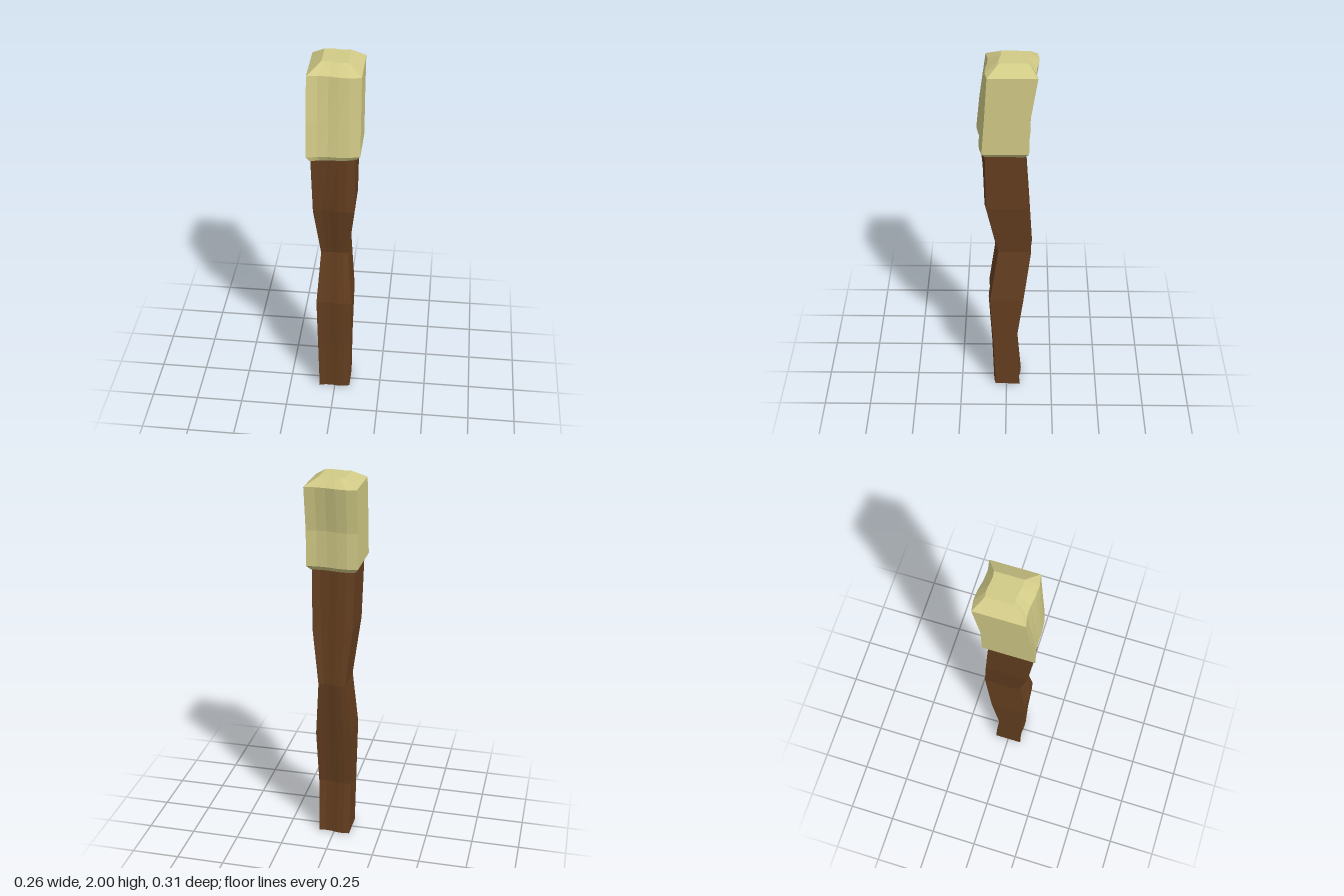
import * as THREE from 'three';

const COLS = 5; // columns across the wavy front and back

// One cross-section: straight sides, S-waved front and back edges
// zFL / zFR: front z at left (-x) and right (+x); zB: back z
function section([y, x0, x1, zFL, zFR, zB, wave]) {
  const front = [], back = [];
  for (let i = 0; i <= COLS; i++) {
    const t = i / COLS;
    const x = x0 + (x1 - x0) * t;
    const s = wave * Math.sin(2 * Math.PI * t);
    front.push([x, y, zFL + (zFR - zFL) * t - s]);
    back.push([x, y, zB - s]);
  }
  return { front, back, loop: [...front, ...back.slice().reverse()] };
}

// Flat-faceted loft through the sections, closed at both ends
function loft(rows) {
  const rings = rows.map(section);
  const pos = [];
  const quad = (a, b, c, d) => pos.push(...a, ...b, ...c, ...a, ...c, ...d);
  for (let r = 0; r < rings.length - 1; r++) {
    const lo = rings[r].loop, hi = rings[r + 1].loop, n = lo.length;
    for (let i = 0; i < n; i++) {
      const j = (i + 1) % n;
      quad(lo[i], lo[j], hi[j], hi[i]);
    }
  }
  const bottom = rings[0], top = rings[rings.length - 1];
  for (let i = 0; i < COLS; i++) {
    quad(top.front[i], top.front[i + 1], top.back[i + 1], top.back[i]);
    quad(bottom.back[i], bottom.back[i + 1], bottom.front[i + 1], bottom.front[i]);
  }
  const g = new THREE.BufferGeometry();
  g.setAttribute('position', new THREE.Float32BufferAttribute(pos, 3));
  g.computeVertexNormals();
  return g;
}

export function createModel() {
  const wood = new THREE.MeshStandardMaterial({ color: 0x653f20, flatShading: true });
  wood.name = 'brown wood';
  const pale = new THREE.MeshStandardMaterial({ color: 0xd2cb87, flatShading: true });
  pale.name = 'pale yellow';

  // Crooked wooden shaft
  const shaft = new THREE.Mesh(loft([
    [0.0, -0.085, 0.082, 0.075, 0.06, -0.075, 0.006],
    [0.3, -0.09, 0.087, 0.083, 0.07, -0.05, 0.006],
    [0.61, -0.095, 0.092, 0.095, 0.088, -0.09, 0.006],
    [0.915, -0.072, 0.068, 0.055, 0.042, -0.128, 0.005],
    [1.21, -0.105, 0.102, 0.11, 0.102, -0.107, 0.007],
    [1.53, -0.11, 0.108, 0.142, 0.105, -0.085, 0.007],
  ]), wood);
  shaft.name = 'shaft';

  // Chamfered cap over the top of the shaft
  const cap = new THREE.Mesh(loft([
    [1.52, -0.113, 0.111, 0.143, 0.106, -0.087, 0.007],
    [1.545, -0.13, 0.13, 0.153, 0.12, -0.11, 0.007],
    [1.73, -0.13, 0.13, 0.134, 0.106, -0.113, 0.008],
    [1.955, -0.13, 0.13, 0.102, 0.091, -0.148, 0.009],
    [2.0, -0.066, 0.064, 0.029, 0.035, -0.105, 0.004],
  ]), pale);
  cap.name = 'cap';

  const group = new THREE.Group();
  group.name = 'cappedPost';
  group.add(shaft, cap);
  return group;
}
